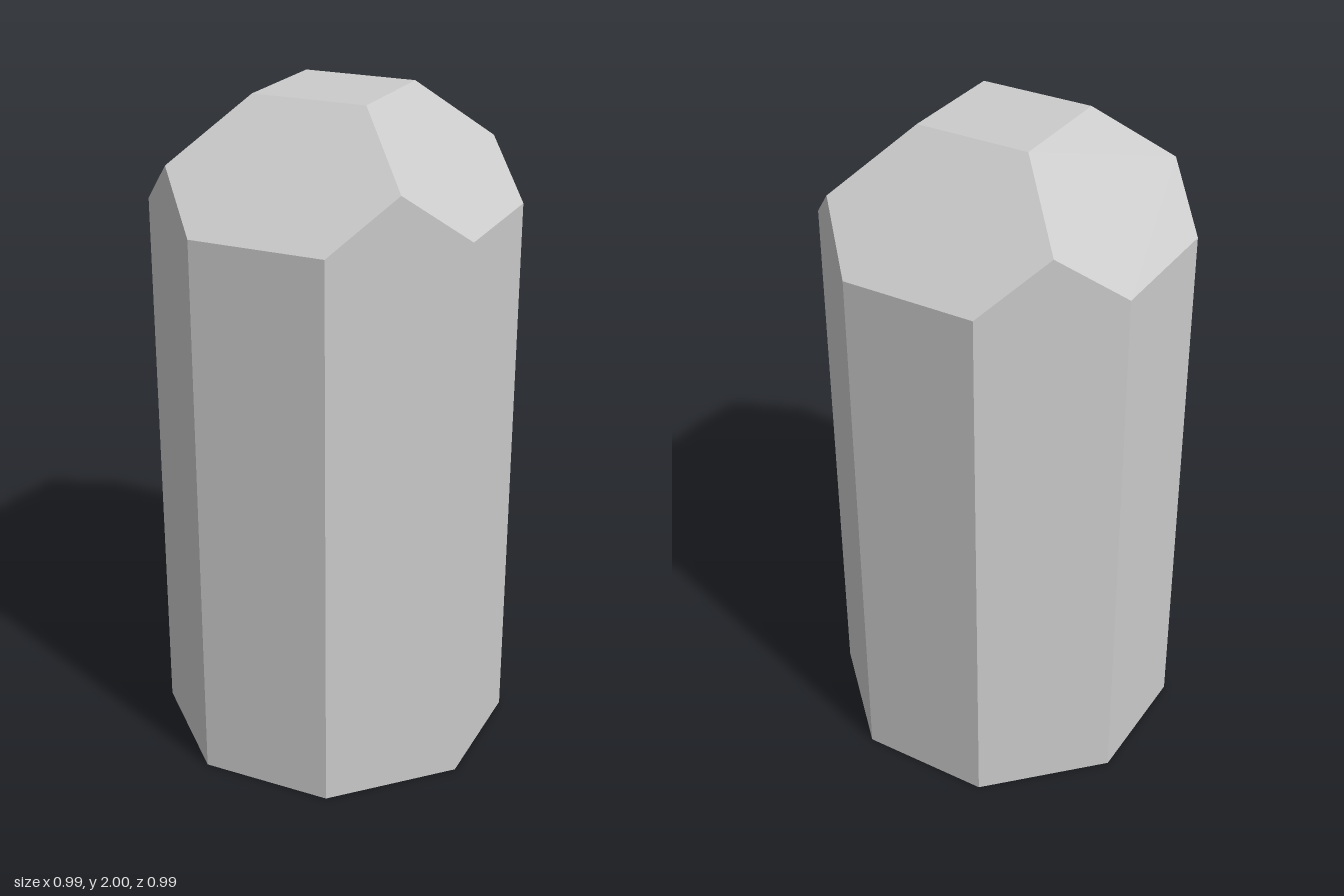
import * as THREE from 'three';
import { ConvexGeometry } from 'three/addons/geometries/ConvexGeometry.js';

export function createModel() {
  const group = new THREE.Group();
  group.name = 'crystal';

  const half = 0.495;               // half width of the column
  const flat = 0.2;                 // half width of the four main sides
  const mid = (half + flat) / 2;    // middle of the corner sides
  const shoulder = 1.675;           // height where the 45 degree crown starts
  const top = 2;
  const tip = half - (top - shoulder);

  // Corners of one quarter, mirrored to all four
  const points = [];
  for (const sx of [-1, 1]) {
    for (const sz of [-1, 1]) {
      const add = (x, y, z) => points.push(new THREE.Vector3(sx * x, y, sz * z));
      for (const y of [0, shoulder]) {
        add(flat, y, half);
        add(half, y, flat);
      }
      add(mid, shoulder + half - mid, mid); // peak of the corner side
      add(tip, top, tip);                   // corner of the square top
    }
  }

  // Eight-sided column with a four-facet crown
  const column = new THREE.Mesh(
    new ConvexGeometry(points),
    new THREE.MeshStandardMaterial({ color: 0xcccccc, flatShading: true })
  );
  column.name = 'facetedColumn';
  group.add(column);
  return group;
}
